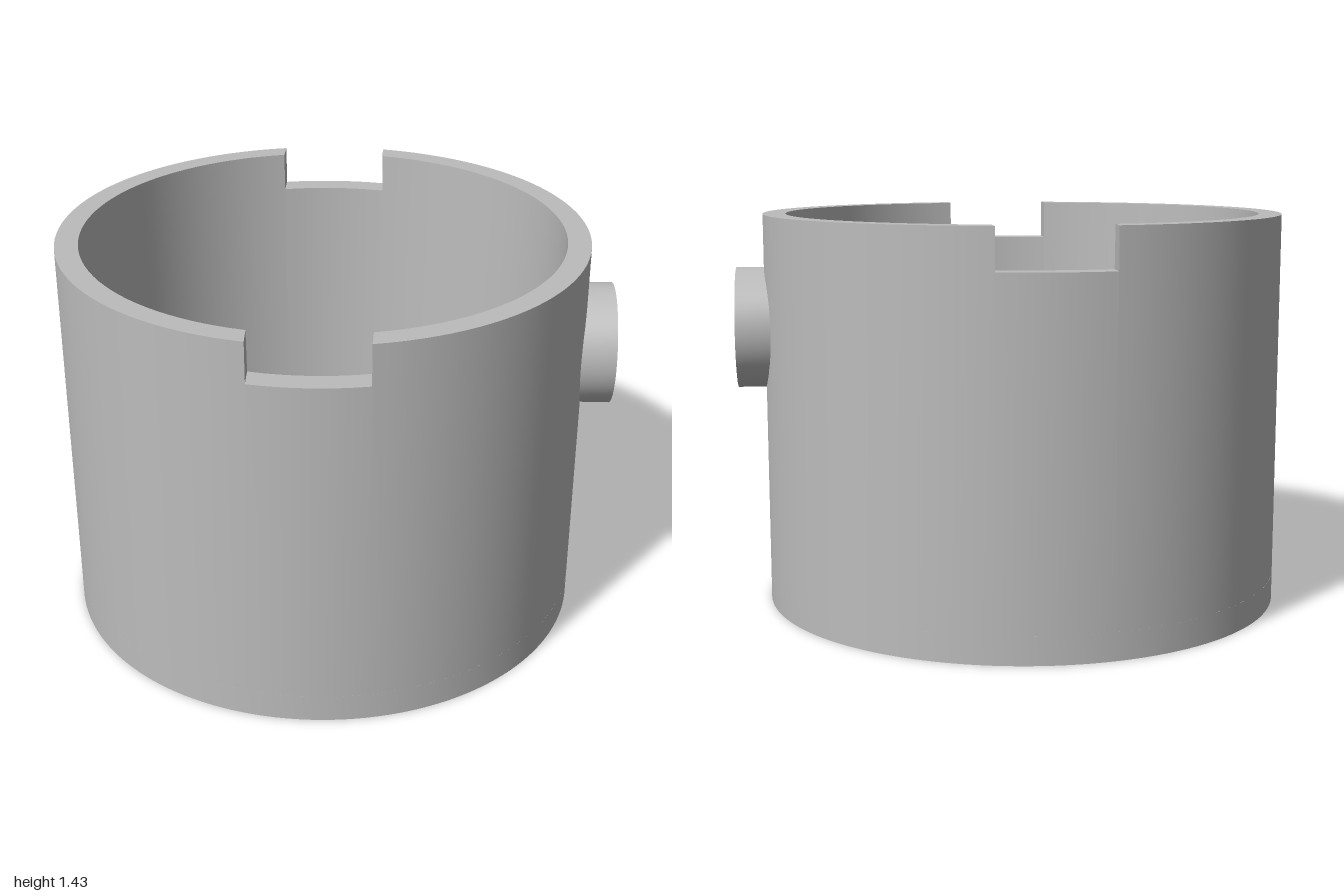
import * as THREE from 'three';
import { toCreasedNormals } from 'three/addons/utils/BufferGeometryUtils.js';

const R = 0.95, CX = -0.05;               // outer radius, cup axis
const FLOOR = 0.1, TOP = 1.43;
const NOTCH_Y = 1.285, NOTCH_HALF = 0.197;
const PORT_Y = 1.015, PORT_R = 0.22, BORE = 0.123;
const CREASE = 0.5;

// The inside narrows slightly towards the floor.
const innerR = y => 0.835 + 0.032 * (y - FLOOR) / (TOP - FLOOR);

// Cup wall with two rim notches and a round side opening, built column by column.
function wallGeometry() {
  const pos = [];
  const quad = (a, b, c, d, flip) => {
    const q = flip ? [d, c, b, a] : [a, b, c, d];
    for (const i of [0, 1, 2, 0, 2, 3]) pos.push(...q[i]);
  };
  const outer = (e, y) => [R * Math.cos(e.o), y, R * Math.sin(e.o)];
  const inner = (e, y) => [innerR(y) * Math.cos(e.i), y, innerR(y) * Math.sin(e.i)];
  const angles = d => ({ o: Math.asin(d / R), i: Math.asin(d / innerR(PORT_Y)) });
  const turn = (base, e, s) => ({ o: base + s * e.o, i: base + s * e.i });

  // One vertical band of a column between edges a and b.
  function band(a, b, loA, loB, hiA, hiB, underside, topside) {
    quad(outer(b, loB), outer(a, loA), outer(a, hiA), outer(b, hiB));
    quad(inner(b, loB), inner(a, loA), inner(a, hiA), inner(b, hiB), true);
    if (topside) quad(inner(a, hiA), inner(b, hiB), outer(b, hiB), outer(a, hiA));
    if (underside) quad(inner(a, loA), inner(b, loB), outer(b, loB), outer(a, loA), true);
  }

  // Plain and notched sectors
  const p = angles(BORE), n = angles(NOTCH_HALF), H = Math.PI / 2;
  const stops = [turn(0, p, 1), turn(H, n, -1), turn(H, n, 1),
    turn(3 * H, n, -1), turn(3 * H, n, 1), turn(4 * H, p, -1)];
  for (let s = 0; s < 5; s++) {
    const from = stops[s], to = stops[s + 1], notched = s % 2 === 1;
    const top = notched ? NOTCH_Y : TOP;
    const count = Math.ceil((to.o - from.o) / 0.055);
    const edge = k => ({
      o: from.o + (to.o - from.o) * k / count,
      i: from.i + (to.i - from.i) * k / count,
    });
    for (let k = 0; k < count; k++) band(edge(k), edge(k + 1), FLOOR, FLOOR, top, top, false, true);
    if (notched) {
      for (const [e, flip] of [[from, false], [to, true]])
        quad(inner(e, top), outer(e, top), outer(e, TOP), inner(e, TOP), flip);
    }
  }

  // Sector with the round opening
  const count = 28;
  const portEdge = k => {
    const t = Math.PI * k / count;
    return { ...angles(-BORE * Math.cos(t)), h: BORE * Math.sin(t) };
  };
  for (let k = 0; k < count; k++) {
    const a = portEdge(k), b = portEdge(k + 1);
    band(a, b, FLOOR, FLOOR, PORT_Y - a.h, PORT_Y - b.h, false, true);
    band(a, b, PORT_Y + a.h, PORT_Y + b.h, TOP, TOP, true, true);
  }

  const g = new THREE.BufferGeometry();
  g.setAttribute('position', new THREE.Float32BufferAttribute(pos, 3));
  return toCreasedNormals(g, CREASE);
}

// Floor disc with three drain holes and a small centre dimple.
function floorGeometry() {
  const shape = new THREE.Shape().absarc(0, 0, R, 0, Math.PI * 2);
  const hole = (x, y, r) => shape.holes.push(new THREE.Path().absarc(x, y, r, 0, Math.PI * 2, true));
  for (let k = 0; k < 3; k++) {
    const a = Math.PI / 3 + k * Math.PI * 2 / 3;
    hole(0.54 * Math.cos(a), 0.54 * Math.sin(a), 0.1);
  }
  hole(0, 0, 0.05);
  const g = new THREE.ExtrudeGeometry(shape, { depth: FLOOR, bevelEnabled: false, curveSegments: 112 });
  g.rotateX(-Math.PI / 2);
  return toCreasedNormals(g, CREASE);
}

// Short hollow collar around the side opening.
function collarGeometry() {
  const end = 1 - CX;
  const profile = [[PORT_R, 0.915], [PORT_R, end], [BORE, end], [BORE, 0.935]]
    .map(([r, y]) => new THREE.Vector2(r, y));
  const g = new THREE.LatheGeometry(profile, 56);
  g.rotateZ(-Math.PI / 2);
  return toCreasedNormals(g, CREASE);
}

export function createModel() {
  const grey = new THREE.MeshStandardMaterial({ color: 0xbcbcbc });
  grey.name = 'light grey';
  const model = new THREE.Group();
  model.name = 'notchedCup';
  const add = (name, geometry, y = 0) => {
    const mesh = new THREE.Mesh(geometry, grey);
    mesh.name = name;
    mesh.position.set(CX, y, 0);
    model.add(mesh);
  };
  add('wall', wallGeometry());
  add('floor', floorGeometry());
  add('centreDimple', new THREE.CylinderGeometry(0.05, 0.05, 0.06, 48), 0.03);
  add('sideCollar', collarGeometry(), PORT_Y);
  return model;
}
